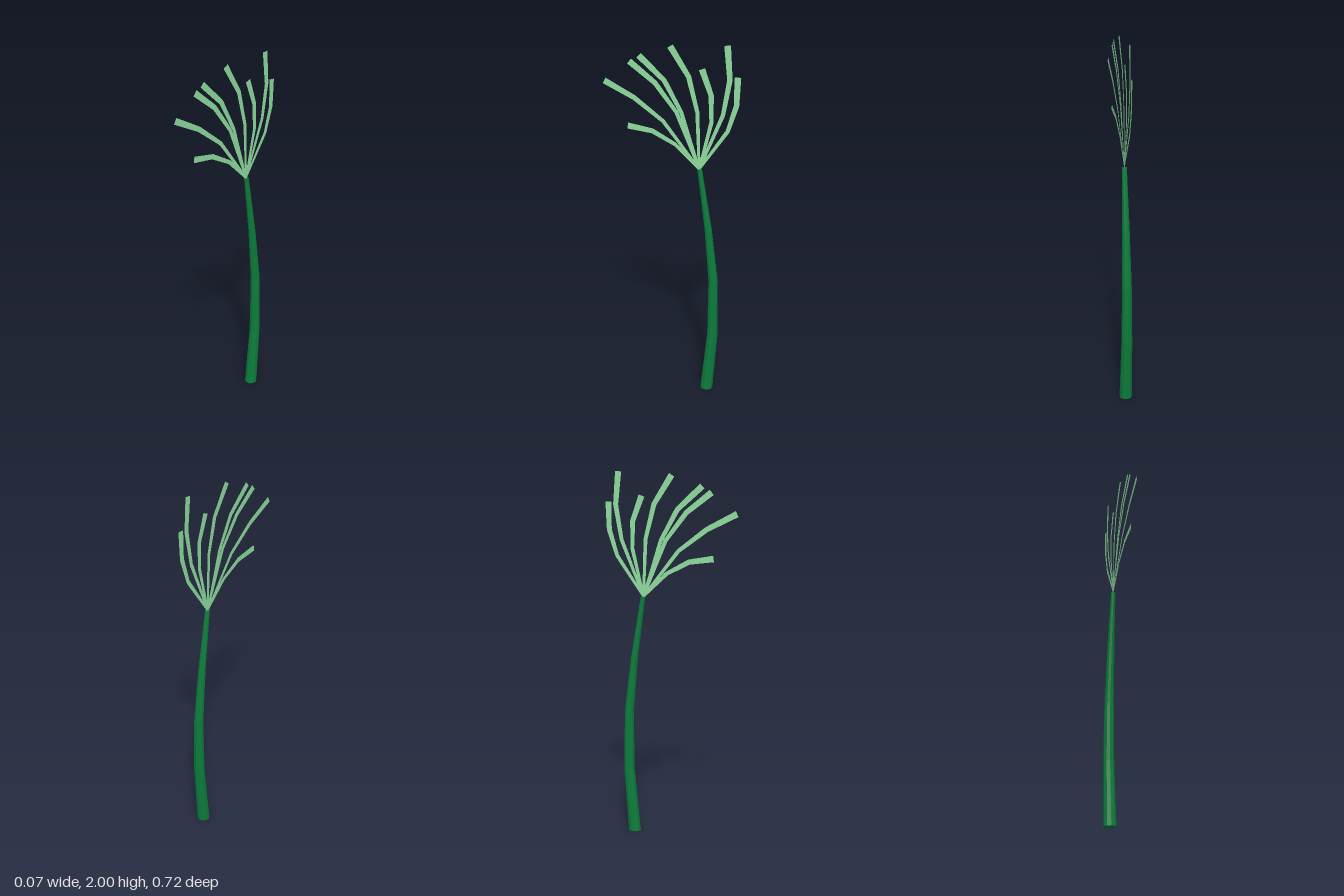
import * as THREE from 'three';

const stalkMat = new THREE.MeshStandardMaterial({ color: 0x0b7d3c, flatShading: true });
const frondMat = new THREE.MeshStandardMaterial({ color: 0x8fdc9f, side: THREE.DoubleSide });

// Tapered, gently bowed ten-sided stalk: the rings of a cylinder moved along the bend
function makeStalk() {
  // [y, z, radius] from the ground up
  const rings = [
    [0, -0.212, 0.035], [0.36, -0.241, 0.03], [0.69, -0.239, 0.026],
    [1.0, -0.206, 0.02], [1.335, -0.156, 0.013],
  ];
  const last = rings.length - 1;
  const geo = new THREE.CylinderGeometry(1, 1, last, 10, last);
  const p = geo.attributes.position;
  for (let i = 0; i < p.count; i++) {
    const [y, z, r] = rings[Math.round(p.getY(i) + last / 2)];
    p.setXYZ(i, p.getX(i) * r, y, z + p.getZ(i) * r);
  }
  geo.computeVertexNormals();
  const mesh = new THREE.Mesh(geo, stalkMat);
  mesh.name = 'stalk';
  return mesh;
}

// Flat ribbon in the x = 0 plane, widening towards its tip; points are [z, y]
function makeFrond(points) {
  const widths = [0.014, 0.022, 0.028, 0.034];
  const pts = points.map(([z, y]) => new THREE.Vector2(-z, y));
  const left = [], right = [];
  pts.forEach((pt, i) => {
    const before = pts[Math.max(i - 1, 0)], after = pts[Math.min(i + 1, pts.length - 1)];
    const dir = after.clone().sub(before).normalize();
    const side = new THREE.Vector2(-dir.y, dir.x).multiplyScalar(widths[i] / 2);
    left.push(pt.clone().add(side));
    right.unshift(pt.clone().sub(side));
  });
  const geo = new THREE.ShapeGeometry(new THREE.Shape([...left, ...right]));
  geo.rotateY(Math.PI / 2);
  return new THREE.Mesh(geo, frondMat);
}

export function createModel() {
  const model = new THREE.Group();
  model.name = 'plant';
  model.add(makeStalk());

  // Fan of fronds, front to back: two bends and a tip each
  const root = [-0.153, 1.338];
  const paths = [
    [[-0.024, 1.465], [0.098, 1.53], [0.23, 1.55]],
    [[0.04, 1.587], [0.193, 1.703], [0.352, 1.785]],
    [[-0.03, 1.64], [0.082, 1.788], [0.217, 1.894]],
    [[-0.056, 1.64], [0.034, 1.804], [0.167, 1.926]],
    [[-0.14, 1.645], [-0.093, 1.83], [0.003, 1.982]],
    [[-0.214, 1.597], [-0.21, 1.74], [-0.161, 1.873]],
    [[-0.273, 1.64], [-0.304, 1.825], [-0.288, 1.999]],
    [[-0.299, 1.555], [-0.341, 1.693], [-0.344, 1.841]],
  ];
  const fronds = new THREE.Group();
  fronds.name = 'fronds';
  paths.forEach((path, i) => {
    const frond = makeFrond([root, ...path]);
    frond.name = `frond${i + 1}`;
    fronds.add(frond);
  });
  model.add(fronds);
  return model;
}
